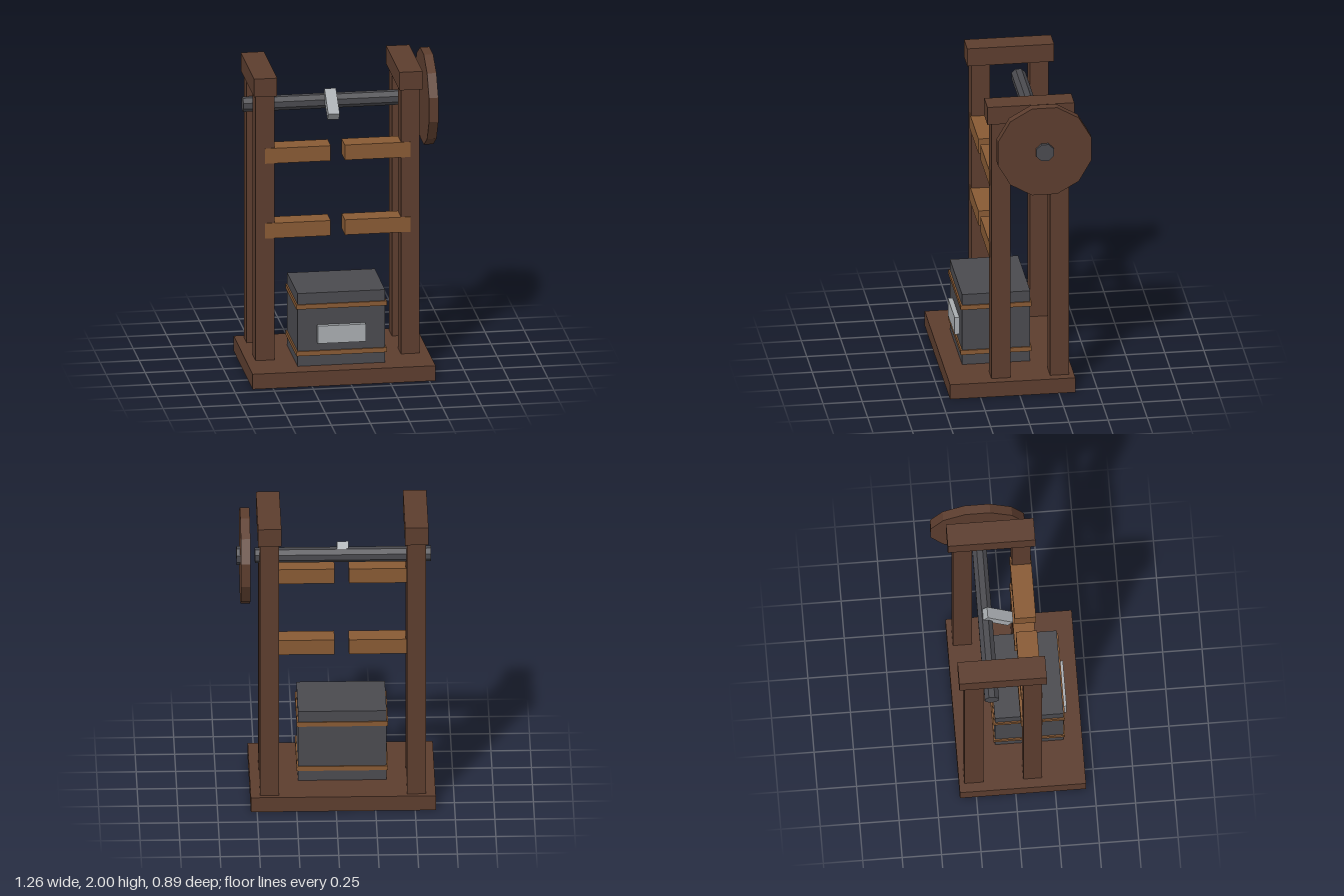
import * as THREE from 'three';

function makeMaterial(name, color) {
  const m = new THREE.MeshStandardMaterial({ color, flatShading: true });
  m.name = name;
  return m;
}

export function createModel() {
  const darkWood = makeMaterial('darkWood', 0x5c3d2e);
  const lightWood = makeMaterial('lightWood', 0x885a34);
  const iron = makeMaterial('iron', 0x4a4a4f);
  const steel = makeMaterial('steel', 0xa9adb1);

  const group = new THREE.Group();
  group.name = 'stampMill';

  const add = (name, geometry, material) => {
    const mesh = new THREE.Mesh(geometry, material);
    mesh.name = name;
    group.add(mesh);
    return mesh;
  };

  // Box given by its extents on each axis
  const box = (name, material, [x0, x1], [y0, y1], [z0, z1]) => {
    const mesh = add(name, new THREE.BoxGeometry(x1 - x0, y1 - y0, z1 - z0), material);
    mesh.position.set((x0 + x1) / 2, (y0 + y1) / 2, (z0 + z1) / 2);
    return mesh;
  };

  // Faceted cylinder along x, with flats facing up and down
  const axisY = 1.703, axisZ = -0.15;
  const drum = (name, material, [x0, x1], apothem, sides) => {
    const radius = apothem / Math.cos(Math.PI / sides);
    const geometry = new THREE.CylinderGeometry(radius, radius, x1 - x0, sides, 1, false, Math.PI / sides);
    geometry.rotateZ(Math.PI / 2);
    const mesh = add(name, geometry, material);
    mesh.position.set((x0 + x1) / 2, axisY, axisZ);
    return mesh;
  };

  box('base', darkWood, [-0.63, 0.54], [0, 0.1], [-0.355, 0.445]);

  // Side frames: two posts and a cap beam on each side
  const midX = -0.045;
  for (const [side, s] of [['right', -1], ['left', 1]]) {
    const x = midX + s * 0.465;
    box(side + 'FrontPost', darkWood, [x - 0.06, x + 0.06], [0.1, 1.86], [0.052, 0.172]);
    box(side + 'BackPost', darkWood, [x - 0.06, x + 0.06], [0.1, 1.86], [-0.322, -0.202]);
    box(side + 'CapBeam', darkWood, [x - 0.074, x + 0.074], [1.86, 1.98], [-0.355, 0.2]);
  }

  // Split guide rails with a gap in the middle
  for (const [level, y] of [['lower', 0.91], ['upper', 1.407]]) {
    for (const [side, s] of [['Right', -1], ['Left', 1]]) {
      const x = midX + s * 0.255;
      box(level + side + 'Rail', lightWood, [x - 0.21, x + 0.21], [y, y + 0.1], [0.042, 0.177]);
    }
  }

  // Camshaft, drive wheel and hub
  drum('camshaft', iron, [-0.605, 0.51], 0.045, 8);
  drum('wheel', darkWood, [0.543, 0.603], 0.298, 12);
  drum('hub', iron, [0.59, 0.626], 0.056, 8);

  // Tilted cam arm
  const cam = box('cam', steel, [-0.083, -0.01], [-0.03, 0.03], [-0.1, 0.1]);
  cam.position.set(-0.046, axisY, -0.072);
  cam.rotation.x = 0.64;

  // Mortar box with wooden bands and a front plate
  box('mortarBox', iron, [-0.325, 0.235], [0.1, 0.583], [-0.109, 0.326]);
  for (const [level, y] of [['lower', 0.17], ['upper', 0.48]]) {
    box(level + 'Band', lightWood, [-0.334, 0.244], [y, y + 0.03], [-0.117, 0.336]);
  }
  box('frontPlate', steel, [-0.2, 0.107], [0.254, 0.37], [0.325, 0.356]);

  return group;
}
